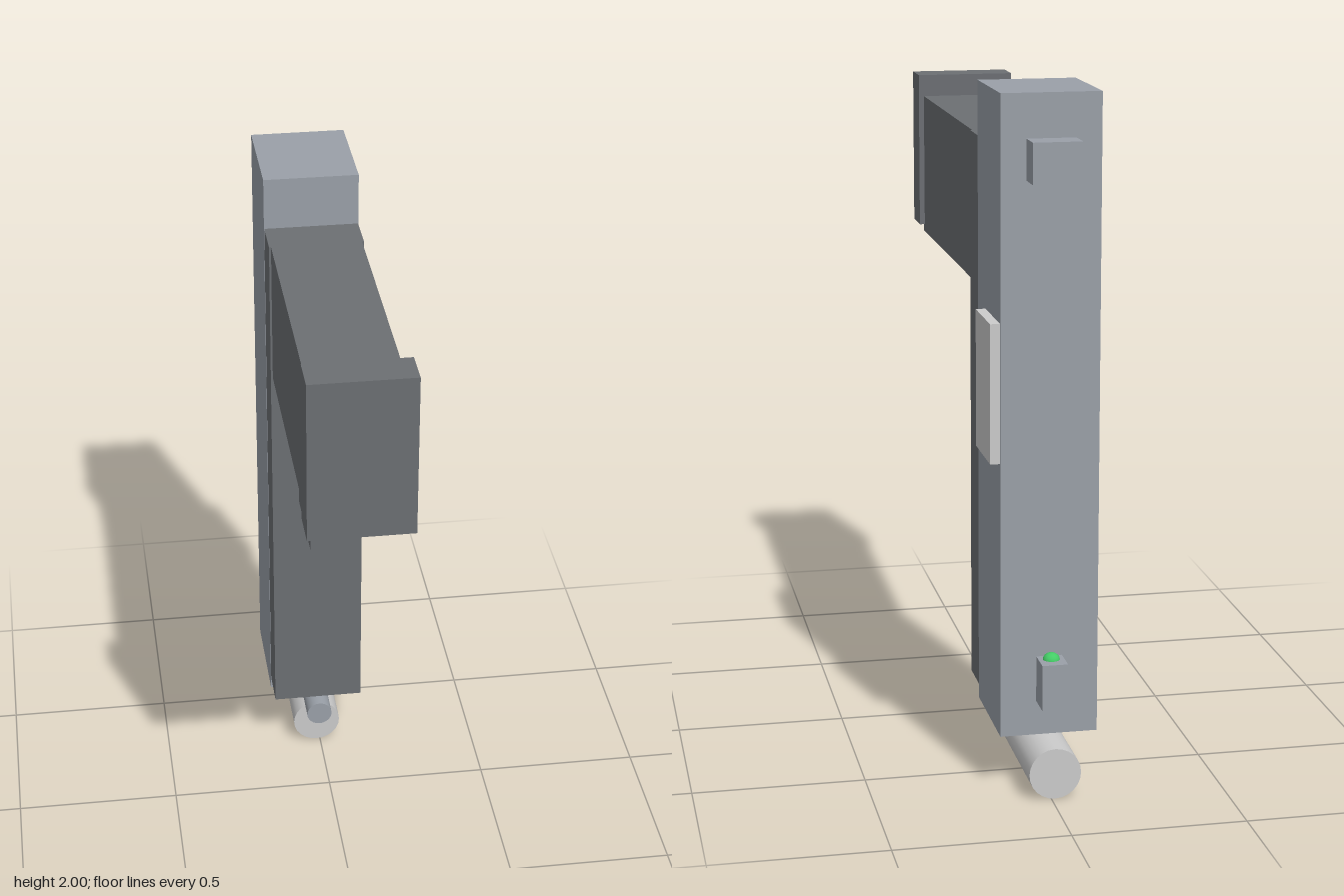
import * as THREE from 'three';

const mat = (color) => new THREE.MeshStandardMaterial({ color });
const steel = mat(0x9aa0a8);
const dark = mat(0x6c6f73);
const pale = mat(0xcccccc);
const green = mat(0x44cc66);

export function createModel() {
  const model = new THREE.Group();
  const CX = -0.011; // centre line of the body

  const add = (name, geometry, material, x, y, z) => {
    const mesh = new THREE.Mesh(geometry, material);
    mesh.name = name;
    mesh.position.set(x, y, z);
    model.add(mesh);
    return mesh;
  };

  // Box given by its extents on each axis
  const box = (name, material, [x0, x1], [y0, y1], [z0, z1]) =>
    add(name, new THREE.BoxGeometry(x1 - x0, y1 - y0, z1 - z0), material,
      (x0 + x1) / 2, (y0 + y1) / 2, (z0 + z1) / 2);

  const about = (half) => [CX - half, CX + half];

  // Cylinder lying along z
  const rod = (name, material, radius, y, [z0, z1]) => {
    const geometry = new THREE.CylinderGeometry(radius, radius, z1 - z0, 24);
    geometry.rotateX(Math.PI / 2);
    add(name, geometry, material, CX, y, (z0 + z1) / 2);
  };

  // Main body
  box('slide', steel, about(0.141), [0.165, 2], [-0.651, -0.323]);
  box('frame', dark, about(0.14), [0.205, 1.843], [-0.33, -0.2]);
  box('grip', dark, about(0.134), [1.408, 1.843], [-0.33, 0.65]);
  box('gripBase', dark, about(0.15), [1.43, 1.91], [0.63, 0.741]);
  box('triggerGuard', dark, about(0.057), [0.96, 1.376], [-0.21, 0.08]);

  // Side plate and sights
  box('sidePlate', pale, [0.12, 0.158], [0.97, 1.368], [-0.646, -0.435]);
  box('rearSight', steel, about(0.069), [1.762, 1.876], [-0.733, -0.64]);
  box('frontSight', steel, about(0.037), [0.266, 0.4], [-0.733, -0.64]);
  const bead = add('sightBead', new THREE.SphereGeometry(0.025, 16, 12), green, CX, 0.397, -0.68);
  bead.scale.y = 0.9;

  // Lower tubes
  rod('barrel', pale, 0.075, 0.077, [-0.741, -0.239]);
  rod('guideRod', steel, 0.04, 0.161, [-0.54, -0.164]);

  return model;
}
